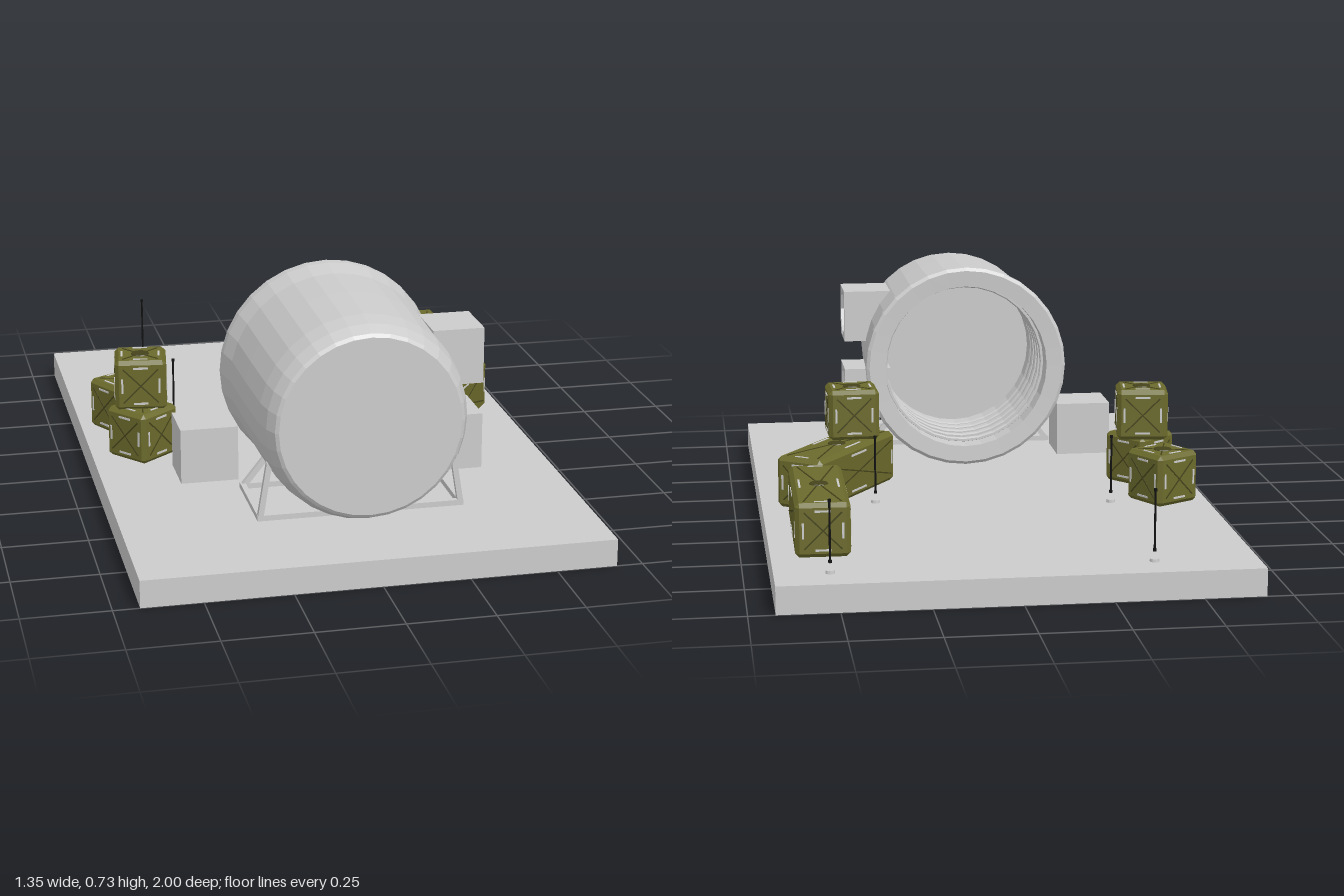
import * as THREE from 'three';
import { ConvexGeometry } from 'three/addons/geometries/ConvexGeometry.js';

const material = (color) => new THREE.MeshStandardMaterial({ color, flatShading: true, side: THREE.DoubleSide });
const grey = material(0xcccccc);
const olive = material(0x6b6a2c);
const darkOlive = material(0x45441c);
const black = material(0x111111);

function add(parent, name, geometry, mat, x = 0, y = 0, z = 0) {
  const mesh = new THREE.Mesh(geometry, mat);
  mesh.name = name;
  mesh.position.set(x, y, z);
  parent.add(mesh);
  return mesh;
}

function box(parent, name, mat, size, pos) {
  return add(parent, name, new THREE.BoxGeometry(...size), mat, ...pos);
}

// Square bar between two points
function bar(parent, name, a, b, t) {
  const from = new THREE.Vector3(...a), to = new THREE.Vector3(...b);
  const mesh = box(parent, name, grey, [t, t, from.distanceTo(to)], [0, 0, 0]);
  mesh.position.copy(from).lerp(to, 0.5);
  mesh.lookAt(to);
}

// Chamfered block: three points near each of the eight corners
function chamferedBox(w, h, d, c) {
  const points = [];
  for (const sx of [-1, 1]) for (const sy of [-1, 1]) for (const sz of [-1, 1]) {
    const x = w / 2, y = h / 2, z = d / 2;
    for (const [a, b, e] of [[x, y - c, z - c], [x - c, y, z - c], [x - c, y - c, z]]) {
      points.push(new THREE.Vector3(sx * a, sy * b, sz * e));
    }
  }
  return new ConvexGeometry(points);
}

// Crossed ribs and four handle slots on one crate face
function cratePanel(u, v) {
  const panel = new THREE.Group();
  panel.name = 'cratePanel';
  const iu = u - 0.05, iv = v - 0.05;
  for (const s of [-1, 1]) {
    const rib = box(panel, 'crossRib', darkOlive, [Math.hypot(iu, iv), 0.004, 0.003], [0, 0, 0]);
    rib.rotation.z = s * Math.atan2(iv, iu);
    const lu = u > 0.3 ? 0.09 : 0.045, lv = v > 0.3 ? 0.09 : 0.045;
    box(panel, 'handleSlot', grey, [lu, 0.006, 0.004], [0, s * (v / 2 - 0.022), 0]);
    box(panel, 'handleSlot', grey, [0.006, lv, 0.004], [s * (u / 2 - 0.022), 0, 0]);
  }
  return panel;
}

function crate(name, length, [x, y, z], turn) {
  const w = 0.156, h = 0.156;
  const group = new THREE.Group();
  group.name = name;
  add(group, 'crateBody', chamferedBox(w, h, length, 0.012), olive);
  for (const s of [-1, 1]) {
    const end = cratePanel(w, h);
    end.position.z = s * length / 2;
    const side = cratePanel(length, h);
    side.rotation.y = Math.PI / 2;
    side.position.x = s * w / 2;
    const lid = cratePanel(w, length);
    lid.rotation.x = Math.PI / 2;
    lid.position.y = s * h / 2;
    group.add(end, side, lid);
  }
  add(group, 'lidCap', new THREE.CylinderGeometry(0.026, 0.03, 0.006, 12), darkOlive, 0, h / 2, 0);
  group.position.set(x, y + h / 2, z);
  group.rotation.y = turn;
  return group;
}

// Square housing with an octagonal recess facing +x
function ventBox(y) {
  const group = new THREE.Group();
  group.name = 'ventBox';
  const s = 0.082, r = 0.072;
  const shape = new THREE.Shape([[-s, -s], [s, -s], [s, s], [-s, s]].map((p) => new THREE.Vector2(...p)));
  const octagon = Array.from({ length: 8 }, (_, i) =>
    new THREE.Vector2(r * Math.cos(i * Math.PI / 4), r * Math.sin(i * Math.PI / 4)));
  shape.holes.push(new THREE.Path(octagon));
  const housing = new THREE.ExtrudeGeometry(shape, { depth: 0.15, bevelEnabled: false });
  add(group, 'ventHousing', housing, grey);
  add(group, 'ventOpening', new THREE.CircleGeometry(r, 8), black, 0, 0, 0.11);
  group.rotation.y = Math.PI / 2;
  group.position.set(0.22, y, 0.59);
  return group;
}

export function createModel() {
  const model = new THREE.Group();
  model.name = 'landingPad';
  box(model, 'basePlate', grey, [1.35, 0.08, 2], [0, 0.04, 0]);

  // Hollow drum, open towards the back
  const drum = new THREE.Group();
  drum.name = 'drum';
  drum.position.y = 0.41;
  model.add(drum);
  const profile = [[0, 0.62], [0.25, 0.62], [0.26, 0.265], [0.31, 0.262], [0.32, 0.27], [0.32, 0.3],
    [0.307, 0.37], [0.304, 0.55], [0.297, 0.74], [0.287, 0.8], [0.27, 0.838], [0.26, 0.845], [0, 0.845]]
    .map((p) => new THREE.Vector2(...p));
  add(drum, 'drumShell', new THREE.LatheGeometry(profile, 32).rotateX(Math.PI / 2), grey);
  for (let i = 0; i < 5; i++) {
    add(drum, 'innerRing', new THREE.TorusGeometry(0.254, 0.007, 6, 32), grey, 0, 0, 0.33 + i * 0.055);
  }

  // Housings on the drum sides
  model.add(ventBox(0.538), ventBox(0.281));
  box(model, 'sideHousing', grey, [0.17, 0.165, 0.16], [-0.378, 0.2, 0.333]);

  // Support frames under the drum
  for (const s of [-1, 1]) {
    bar(model, 'frontPost', [s * 0.292, 0.12, 0.73], [s * 0.265, 0.285, 0.73], 0.016);
    bar(model, 'rearStrut', [s * 0.292, 0.12, 0.475], [s * 0.22, 0.21, 0.475], 0.016);
    bar(model, 'footRail', [s * 0.292, 0.122, 0.738], [s * 0.292, 0.122, 0.467], 0.016);
  }
  for (const z of [0.475, 0.73]) bar(model, 'crossBar', [-0.292, 0.122, z], [0.292, 0.122, z], 0.016);

  // Marker rods hovering over small discs
  for (const [x, z] of [[-0.38, -0.89], [0.52, -0.89], [-0.38, -0.23], [0.33, -0.145]]) {
    add(model, 'markerDisc', new THREE.CylinderGeometry(0.013, 0.014, 0.01, 10), grey, x, 0.084, z);
    add(model, 'markerRod', new THREE.CylinderGeometry(0.003, 0.003, 0.175, 8), black, x, 0.198, z);
    for (const y of [0.113, 0.284]) {
      add(model, 'rodCap', new THREE.CylinderGeometry(0.005, 0.005, 0.008, 8), black, x, y, z);
    }
  }

  // Cargo crates
  model.add(
    crate('longCrate', 0.46, [0.525, 0.081, -0.512], -0.015),
    crate('longCrate', 0.46, [0.437, 0.081, -0.013], -0.594),
    crate('smallCrate', 0.156, [0.38, 0.236, 0.1], 0.02),
    crate('smallCrate', 0.156, [-0.54, 0.081, -0.22], 0.52),
    crate('smallCrate', 0.156, [-0.52, 0.081, 0.037], 0.68),
    crate('smallCrate', 0.156, [-0.517, 0.233, 0], -0.137),
  );
  return model;
}
